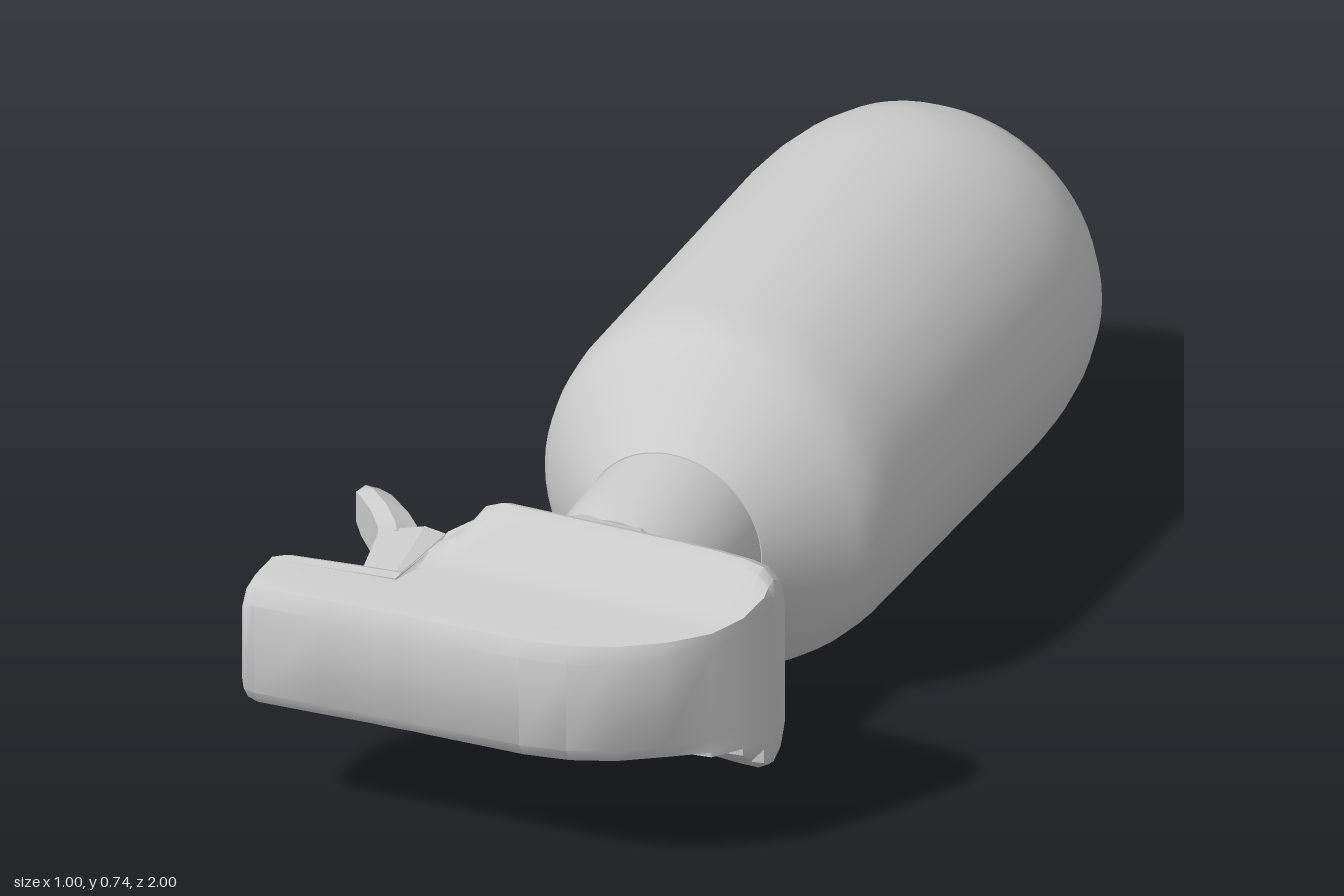
import * as THREE from 'three';
import { toCreasedNormals } from 'three/addons/utils/BufferGeometryUtils.js';

const CX = 0.1, CY = 0.377; // bottle axis, running along z
const material = new THREE.MeshStandardMaterial({ color: 0xcccccc });

function addMesh(group, name, geometry, crease = 0.6) {
  const mesh = new THREE.Mesh(toCreasedNormals(geometry, crease), material);
  mesh.name = name;
  group.add(mesh);
  return mesh;
}

// Closed skin over equal-length rings of [x, y, z], capped at both ends
function loft(rings) {
  const n = rings[0].length, pos = rings.flat(2), index = [];
  rings.slice(1).forEach((_, r) => {
    for (let i = 0; i < n; i++) {
      const j = (i + 1) % n, a = r * n + i, b = r * n + j;
      index.push(a, b, a + n, b, b + n, a + n);
    }
  });
  [0, rings.length - 1].forEach((r) => {
    const centre = pos.length / 3;
    for (let k = 0; k < 3; k++) pos.push(rings[r].reduce((s, p) => s + p[k], 0) / n);
    for (let i = 0; i < n; i++) {
      const a = r * n + i, b = r * n + (i + 1) % n;
      index.push(centre, ...(r === 0 ? [b, a] : [a, b]));
    }
  });
  // Turn the skin outward if its signed volume is negative
  const v = (i) => new THREE.Vector3().fromArray(pos, i * 3);
  let volume = 0;
  for (let i = 0; i < index.length; i += 3) {
    volume += v(index[i]).dot(v(index[i + 1]).cross(v(index[i + 2])));
  }
  if (volume < 0) index.reverse();
  const g = new THREE.BufferGeometry();
  g.setAttribute('position', new THREE.Float32BufferAttribute(pos, 3));
  g.setIndex(index);
  return g;
}

// Lathe about the bottle axis from [radius, z] points
function turned(points) {
  const g = new THREE.LatheGeometry(points.map(([r, z]) => new THREE.Vector2(r, z)), 64);
  return g.rotateX(Math.PI / 2).translate(CX, CY, 0);
}

// Bell-shaped yz section of the spray head: wide at the back, narrow in front
function headSection([x, back, front, wide, narrow = 0.133]) {
  const step = 0.75;
  const half = [
    [wide - 0.05, back], [wide - 0.015, back + 0.015], [wide, back + 0.045],
    [wide - 0.005, back + 0.07], [Math.min(wide, narrow + 0.045), step - 0.04],
    [Math.min(wide, narrow + 0.015), step], [narrow, step + 0.05],
    [narrow, front - 0.06], [narrow - 0.01, front - 0.02], [narrow - 0.04, front],
  ];
  let z = back;
  const side = half.map(([y, pz]) => {
    z = Math.min(front, Math.max(z, pz));
    return [y, z];
  });
  return [
    ...side.map(([y, pz]) => [x, CY + y, pz]),
    ...side.reverse().map(([y, pz]) => [x, CY - y, pz]),
  ];
}

export function createModel() {
  const group = new THREE.Group();

  // Bottle with rounded base and sloping shoulder
  addMesh(group, 'bottle', turned([
    [0, -1], [0.24, -1], [0.275, -0.992], [0.31, -0.965], [0.34, -0.915], [0.358, -0.85],
    [0.368, -0.78], [0.372, -0.7], [0.365, 0], [0.358, 0.06], [0.345, 0.11],
    [0.32, 0.145], [0.185, 0.28], [0, 0.28],
  ]));

  // Neck
  addMesh(group, 'neck', turned([
    [0, 0.27], [0.183, 0.27], [0.182, 0.38], [0.176, 0.48], [0.168, 0.535], [0, 0.535],
  ]));

  // Faceted collar flaring into the head
  const collarRing = (z, rx, ry) => Array.from({ length: 10 }, (_, i) => {
    const a = (i / 10) * Math.PI * 2;
    return [0.085 + rx * Math.cos(a), CY + ry * Math.sin(a), z];
  });
  addMesh(group, 'collar', loft([
    collarRing(0.525, 0.195, 0.17), collarRing(0.555, 0.25, 0.178), collarRing(0.61, 0.295, 0.185),
  ]), 0.3);

  // Spray head: rows of x, back z, front z, wide half-width, narrow half-width
  addMesh(group, 'sprayHead', loft([
    [-0.473, 0.835, 0.98, 0.115, 0.115],
    [-0.463, 0.82, 0.995, 0.128, 0.128],
    [-0.44, 0.812, 0.998, 0.133],
    [-0.3, 0.795, 0.99, 0.134],
    [-0.21, 0.788, 0.984, 0.136],
    [-0.19, 0.62, 0.984, 0.145],
    [-0.15, 0.59, 0.982, 0.165],
    [-0.125, 0.59, 0.98, 0.2],
    [-0.09, 0.59, 0.98, 0.215],
    [0.1, 0.59, 0.974, 0.216],
    [0.19, 0.59, 0.958, 0.216],
    [0.27, 0.59, 0.925, 0.216],
    [0.35, 0.593, 0.87, 0.216],
    [0.42, 0.6, 0.8, 0.216],
    [0.46, 0.607, 0.745, 0.212],
    [0.485, 0.617, 0.705, 0.195],
    [0.496, 0.635, 0.68, 0.17],
  ].map(headSection)));

  // Trigger mount under the nozzle, and curved lever: rows of the two edges and half-width
  const slab = ([x1, z1, x2, z2, h]) => [
    [x1, CY - h * 0.7, z1], [x1, CY + h * 0.7, z1],
    [x1 * 0.6 + x2 * 0.4, CY + h, z1 * 0.6 + z2 * 0.4], [x2, CY + h * 0.8, z2],
    [x2, CY - h * 0.8, z2], [x1 * 0.6 + x2 * 0.4, CY - h, z1 * 0.6 + z2 * 0.4],
  ];
  addMesh(group, 'triggerMount', loft([
    [-0.32, 0.82, -0.13, 0.82, 0.1],
    [-0.322, 0.79, -0.13, 0.79, 0.1],
    [-0.367, 0.59, -0.13, 0.59, 0.1],
  ].map(slab)), 0.3);
  addMesh(group, 'triggerLever', loft([
    [-0.367, 0.6, -0.265, 0.6, 0.085],
    [-0.388, 0.55, -0.305, 0.54, 0.07],
    [-0.43, 0.49, -0.36, 0.475, 0.065],
    [-0.475, 0.44, -0.42, 0.42, 0.06],
    [-0.499, 0.41, -0.46, 0.387, 0.045],
    [-0.495, 0.39, -0.478, 0.381, 0.03],
  ].map(slab)), 0.6);

  return group;
}
